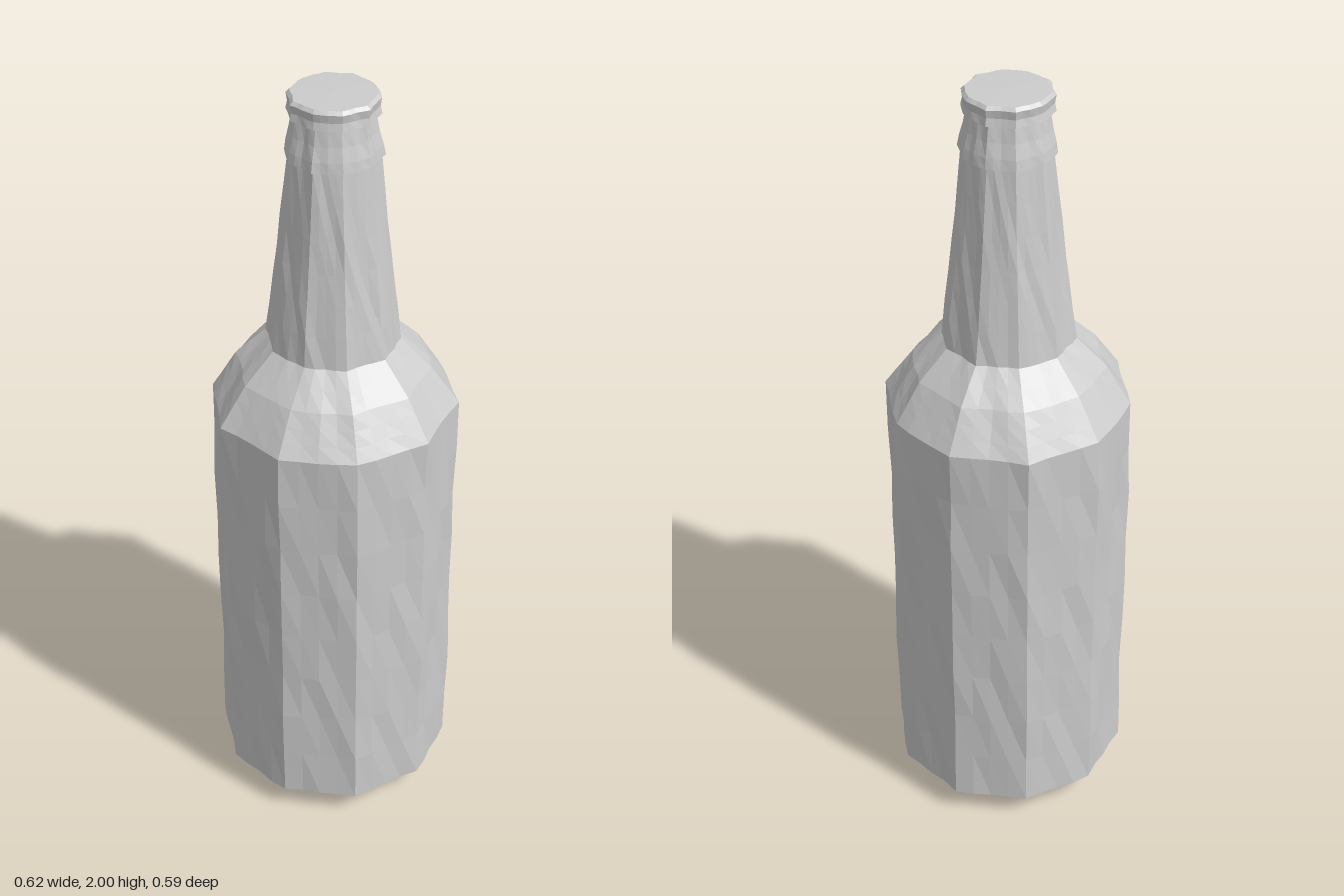
import * as THREE from 'three';

const SIDES = 10, PER_SIDE = 4;

// Small hand-worked unevenness, periodic around the bottle
function wobble(a, y) {
  return 0.0022 * Math.sin(7 * a + 9 * y) + 0.0018 * Math.sin(13 * a - 17 * y) + 0.0012 * Math.sin(23 * a + 31 * y);
}

// Ten-sided faceted shell from [radius, y, rows to next point]
function shell(name, profile, material) {
  const pts = [];
  profile.forEach(([r, y, rows = 1], i) => {
    const next = profile[i + 1];
    if (!next) return pts.push(new THREE.Vector2(r, y));
    for (let k = 0; k < rows; k++) {
      const t = k / rows;
      pts.push(new THREE.Vector2(r + (next[0] - r) * t, y + (next[1] - y) * t));
    }
  });
  let geo = new THREE.LatheGeometry(pts, SIDES * PER_SIDE, Math.PI / 2);
  const p = geo.attributes.position, step = (2 * Math.PI) / SIDES;
  for (let i = 0; i < p.count; i++) {
    const x = p.getX(i), y = p.getY(i), z = p.getZ(i), r = Math.hypot(x, z);
    if (r < 1e-5) continue;
    const a = Math.atan2(z, x);
    const local = a - Math.floor(a / step + 1e-6) * step - step / 2;
    const flat = Math.cos(step / 2) / Math.cos(local);
    const R = r * flat + wobble(a, y) * Math.min(1, r / 0.2);
    p.setXYZ(i, R * Math.cos(a), y, R * Math.sin(a));
  }
  geo = geo.toNonIndexed();
  geo.computeVertexNormals(); // flat facets
  const mesh = new THREE.Mesh(geo, material);
  mesh.name = name;
  return mesh;
}

export function createModel() {
  const grey = new THREE.MeshStandardMaterial({ color: 0xcccccc });
  grey.name = 'plain grey';
  const bottle = new THREE.Group();
  bottle.name = 'bottle';
  bottle.add(
    shell('base', [[0, 0.004], [0.235, 0.006, 2], [0.308, 0.075]], grey),
    shell('body', [[0.308, 0.075, 8], [0.306, 1.185]], grey),
    shell('shoulder', [[0.306, 1.185, 3], [0.24, 1.285, 2], [0.165, 1.36]], grey),
    shell('neck', [[0.165, 1.36, 3], [0.135, 1.6, 3], [0.108, 1.848]], grey),
    shell('collar', [[0.1, 1.845], [0.116, 1.85], [0.112, 1.875], [0.103, 1.91], [0.096, 1.95]], grey),
    shell('cap', [[0.09, 1.948], [0.109, 1.952], [0.105, 1.97], [0.108, 1.99], [0.1, 1.998], [0, 2]], grey),
  );
  return bottle;
}
